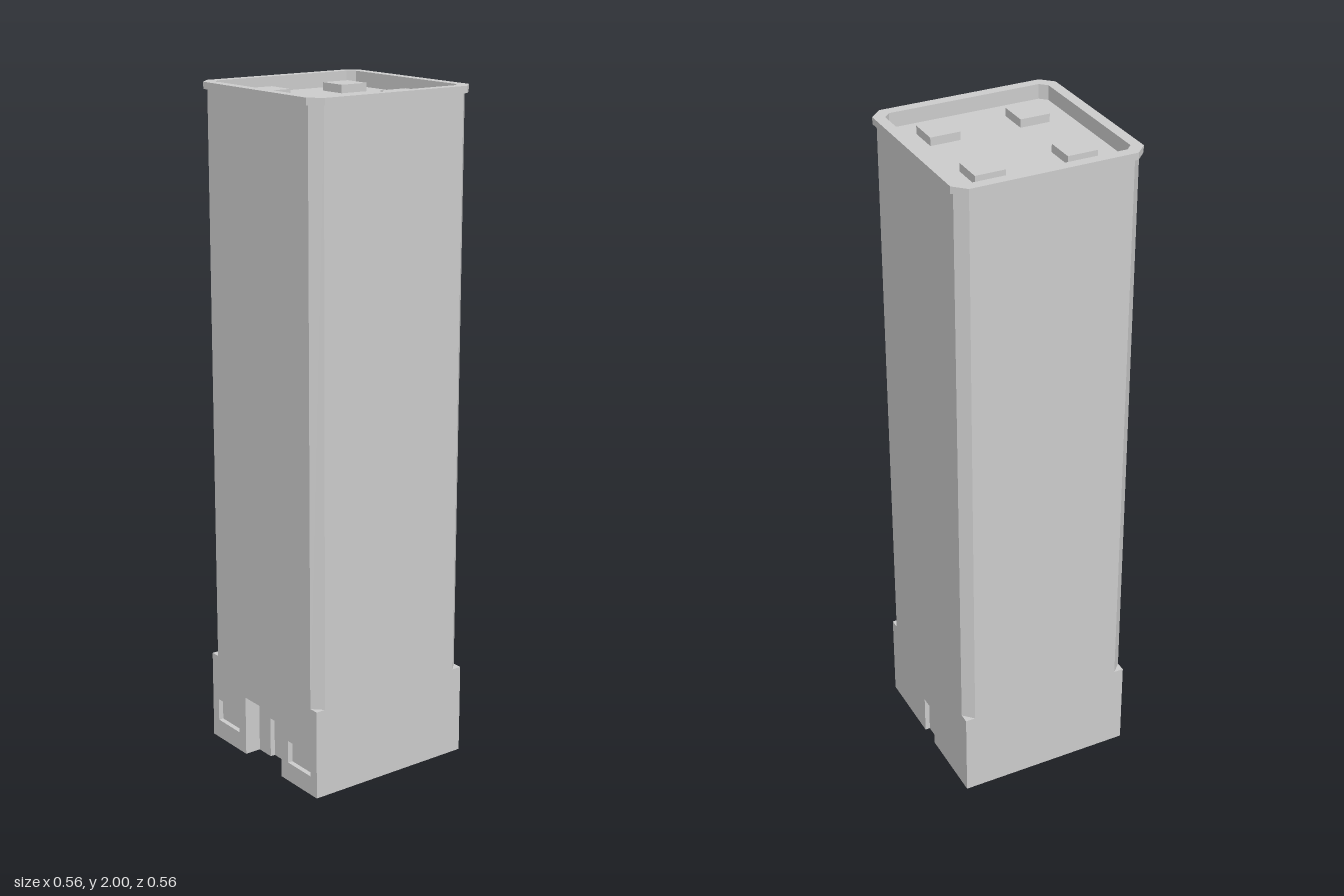
import * as THREE from 'three';

const H = 0.268;      // half width of the tower
const C = 0.238;      // where the corner chamfer starts
const BASE = 0.27;    // height of the square base
const EAVE = 1.98;    // underside of the cornice
const ROOF = 1.957;   // sunken roof deck

const mat = new THREE.MeshStandardMaterial({ color: 0xcccccc, flatShading: true });

function add(parent, name, geo, x = 0, y = 0, z = 0) {
  const m = new THREE.Mesh(geo, mat);
  m.name = name;
  m.position.set(x, y, z);
  parent.add(m);
  return m;
}

const shapeOf = (pts) => new THREE.Shape(pts.map(([x, y]) => new THREE.Vector2(x, y)));

// Flat geometry from a list of four-cornered faces
function quads(list) {
  const pos = [];
  for (const [a, b, c, d] of list) pos.push(...a, ...b, ...c, ...a, ...c, ...d);
  const g = new THREE.BufferGeometry();
  g.setAttribute('position', new THREE.Float32BufferAttribute(pos, 3));
  g.computeVertexNormals();
  return g;
}

// Counter-clockwise outlines: doors stand on the ground, windows are closed
const doorway = (w, h) => [[w, 0], [w, h], [-w, h], [-w, 0]];
const rect = (x0, y0, x1, y1) => [[x0, y0], [x1, y0], [x1, y1], [x0, y1]];

// Side walls of a recess running from z0 back to z1
function reveal(pts, z0, z1, closed) {
  const faces = [];
  const n = closed ? pts.length : pts.length - 1;
  for (let i = 0; i < n; i++) {
    const a = pts[i], b = pts[(i + 1) % pts.length];
    faces.push([[...a, z0], [...b, z0], [...b, z1], [...a, z1]]);
  }
  return quads(faces);
}

// One side of the tower: wide base, narrower shaft, optional openings
function facade(name, door = [], windows = []) {
  const g = new THREE.Group();
  g.name = name;
  const s = shapeOf([[-H, 0], ...[...door].reverse(), [H, 0], [H, BASE], [C, BASE],
    [C, EAVE], [-C, EAVE], [-C, BASE], [-H, BASE]]);
  for (const w of windows) s.holes.push(shapeOf(w));
  add(g, 'wall', new THREE.ShapeGeometry(s), 0, 0, H);
  return g;
}

// Eight-sided outline of a square with cut corners
const octagon = (h, c) => [[h, -c], [h, c], [c, h], [-c, h], [-h, c], [-h, -c], [-c, -h], [c, -h]];

export function createModel() {
  const tower = new THREE.Group();
  tower.name = 'tower';

  const inset = 0.015, porchDepth = 0.05;
  const porch = doorway(0.092, 0.185);
  const door = doorway(0.034, 0.125);
  const windows = [rect(-0.238, 0.058, -0.127, 0.127), rect(0.127, 0.058, 0.238, 0.127)];

  // Front with porch, door and windows
  const front = facade('frontFacade', porch, windows);
  const zp = H - porchDepth;
  add(front, 'porchReveal', reveal(porch, H, zp, false));
  add(front, 'porchWall', new THREE.ShapeGeometry(
    shapeOf([[-0.092, 0], ...[...door].reverse(), [0.092, 0], [0.092, 0.185], [-0.092, 0.185]])), 0, 0, zp);
  add(front, 'doorReveal', reveal(door, zp, zp - inset, false));
  add(front, 'frontDoor', new THREE.ShapeGeometry(shapeOf(door)), 0, 0, zp - inset);
  for (const w of windows) {
    add(front, 'windowReveal', reveal(w, H, H - inset, true));
    add(front, 'windowPane', new THREE.ShapeGeometry(shapeOf(w)), 0, 0, H - inset);
  }
  tower.add(front);

  // Back with a single door
  const back = facade('backFacade', door);
  add(back, 'doorReveal', reveal(door, H, H - inset, false));
  add(back, 'backDoor', new THREE.ShapeGeometry(shapeOf(door)), 0, 0, H - inset);
  back.rotation.y = Math.PI;
  tower.add(back);

  // Plain sides
  for (const s of [1, -1]) {
    const side = facade(s > 0 ? 'leftFacade' : 'rightFacade');
    side.rotation.y = s * Math.PI / 2;
    tower.add(side);
  }

  // Chamfered corners standing on small ledges of the base
  for (let i = 0; i < 4; i++) {
    const corner = new THREE.Group();
    corner.name = 'corner';
    const strip = add(corner, 'chamfer', new THREE.PlaneGeometry((H - C) * Math.SQRT2, EAVE - BASE),
      (H + C) / 2, (EAVE + BASE) / 2, (H + C) / 2);
    strip.rotation.y = Math.PI / 4;
    add(corner, 'ledge', new THREE.ShapeGeometry(shapeOf([[H, -H], [H, -C], [C, -H]]))
      .rotateX(-Math.PI / 2), 0, BASE, 0);
    corner.rotation.y = i * Math.PI / 2;
    tower.add(corner);
  }

  // Underside, notched at the porch and doors
  const zd = zp - inset, zb = -H + inset;
  add(tower, 'underside', new THREE.ShapeGeometry(shapeOf([
    [-H, -H], [-0.034, -H], [-0.034, zb], [0.034, zb], [0.034, -H], [H, -H], [H, H],
    [0.092, H], [0.092, zp], [0.034, zp], [0.034, zd], [-0.034, zd], [-0.034, zp],
    [-0.092, zp], [-0.092, H], [-H, H]])).rotateX(Math.PI / 2));

  // Cornice and parapet: octagonal rings of [half width, chamfer start, height]
  const rings = [[H, C, EAVE], [0.278, 0.243, EAVE], [0.278, 0.243, 2],
    [0.247, 0.227, 2], [0.247, 0.227, ROOF]]
    .map(([h, c, y]) => octagon(h, c).map(([x, z]) => [x, y, z]));
  const faces = [];
  for (let r = 0; r < rings.length - 1; r++) {
    for (let i = 0; i < 8; i++) {
      const j = (i + 1) % 8;
      faces.push([rings[r][i], rings[r + 1][i], rings[r + 1][j], rings[r][j]]);
    }
  }
  add(tower, 'cornice', quads(faces));

  // Roof deck with four low service boxes
  add(tower, 'roofDeck', new THREE.ShapeGeometry(shapeOf(octagon(0.247, 0.227)))
    .rotateX(-Math.PI / 2), 0, ROOF, 0);
  for (const x of [-0.134, 0.134]) {
    for (const z of [-0.134, 0.134]) {
      add(tower, 'roofBox', new THREE.BoxGeometry(0.089, 0.024, 0.089), x, ROOF + 0.012, z);
    }
  }
  return tower;
}
